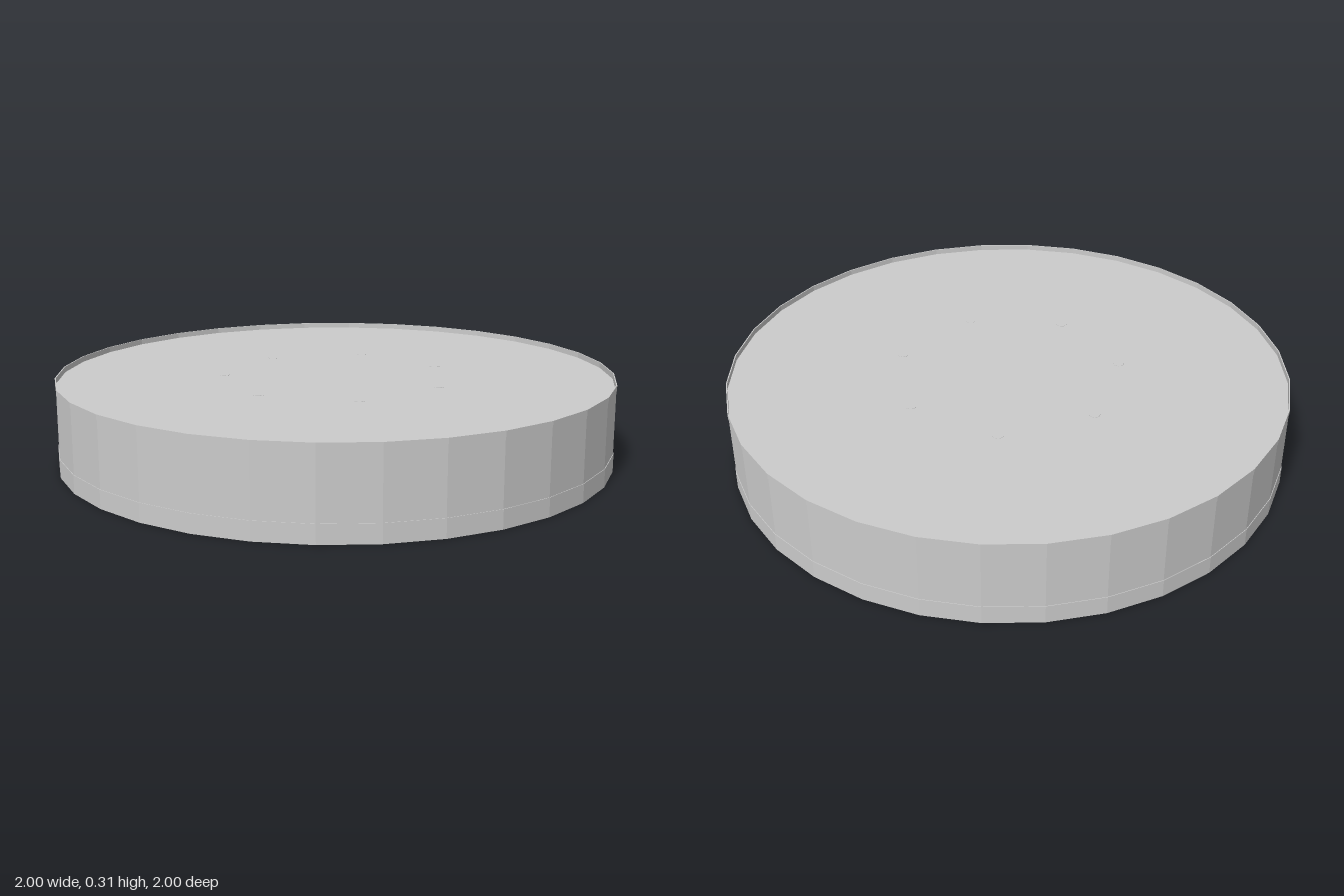
import * as THREE from 'three';

const SIDES = 32;
const HEIGHT = 0.31;
const FLOOR = 0.065; // underside of the disc
const DECK = 0.29; // top face of the disc

export function createModel() {
  const model = new THREE.Group();
  model.name = 'disc';
  const material = new THREE.MeshStandardMaterial({ color: 0xcccccc, flatShading: true });

  const add = (name, geometry, x = 0, y = 0, z = 0) => {
    const mesh = new THREE.Mesh(geometry, material);
    mesh.name = name;
    mesh.position.set(x, y, z);
    model.add(mesh);
  };

  // Thin-walled rim ring, closed profile from outside to inside
  const rim = (y0, y1) => {
    const profile = [[1, y0], [1, y1], [0.996, y1], [0.996, y0], [1, y0]];
    return new THREE.LatheGeometry(profile.map(([r, y]) => new THREE.Vector2(r, y)), SIDES);
  };

  // Solid disc, recessed between an upper lip and a deeper lower skirt
  const thickness = DECK - FLOOR;
  const middle = (DECK + FLOOR) / 2;
  add('body', new THREE.CylinderGeometry(0.998, 0.998, thickness, SIDES), 0, middle, 0);
  add('upperLip', rim(DECK, HEIGHT));
  add('lowerSkirt', rim(0, FLOOR));

  // Seven pins through the disc, almost flush on both faces
  const pin = new THREE.CylinderGeometry(0.02, 0.02, thickness + 0.002, 12);
  for (let i = 0; i < 7; i++) {
    const angle = -Math.PI / 2 + (i * Math.PI * 2) / 7;
    add(`pin${i + 1}`, pin, 0.405 * Math.cos(angle), middle, 0.405 * Math.sin(angle));
  }

  return model;
}
